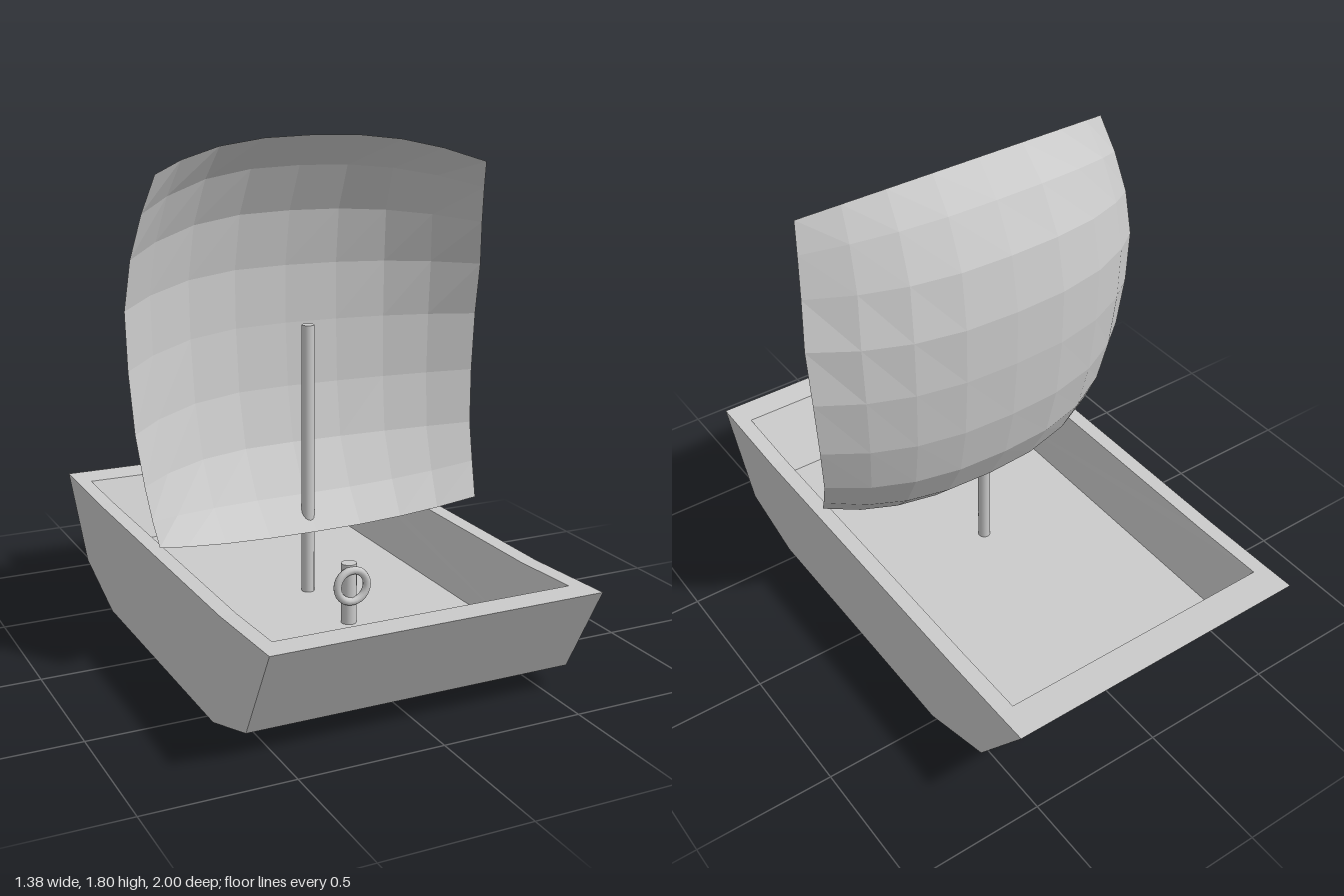
import * as THREE from 'three';

const grey = (opts = {}) => new THREE.MeshStandardMaterial({ color: 0xcccccc, ...opts });

function named(name, geometry, material, x = 0, y = 0, z = 0) {
  const mesh = new THREE.Mesh(geometry, material);
  mesh.name = name;
  mesh.position.set(x, y, z);
  return mesh;
}

function geometryFrom(positions) {
  const g = new THREE.BufferGeometry();
  g.setAttribute('position', new THREE.Float32BufferAttribute(positions, 3));
  g.computeVertexNormals();
  return g;
}

// Fan-triangulate a polygon so that every triangle faces along "facing".
function addPolygon(out, points, facing) {
  const p = points.map((q) => new THREE.Vector3(...q));
  const f = new THREE.Vector3(...facing);
  for (let i = 1; i < p.length - 1; i++) {
    const tri = [p[0], p[i], p[i + 1]];
    const n = new THREE.Vector3().crossVectors(tri[1].clone().sub(tri[0]), tri[2].clone().sub(tri[0]));
    if (n.dot(f) < 0) tri.reverse();
    tri.forEach((v) => out.push(v.x, v.y, v.z));
  }
}

// Straight-sided hull with raked ends and a tapered open well.
function hullGeometry(floorY) {
  const out = [];
  const [xr, xl] = [-0.59, 0.573]; // outer sides
  const [ir, il] = [-0.535, 0.515]; // well opening
  const [fr, fl] = [-0.465, 0.445]; // well floor
  const [fz0, fz1] = [0.775, -0.75];
  const keel = [[0.55, 0], [0.82, 0.085], [1, 0.408]];
  const stern = [[-1, 0.4], [-0.78, 0.105], [-0.48, 0]];
  // Sheer line stations (z, y); 1 and 4 are the ends of the well.
  const rim = [[1, 0.408], [0.895, 0.403], [0.62, 0.39], [-0.6, 0.39], [-0.875, 0.396], [-1, 0.4]];
  const at = (x, [z, y]) => [x, y, z];

  // Flat outer sides
  const side = [...keel, ...rim.slice(1, 5), ...stern];
  addPolygon(out, side.map((q) => at(xr, q)), [-1, 0, 0]);
  addPolygon(out, side.map((q) => at(xl, q)), [1, 0, 0]);

  // Bow, bottom and stern plates
  const shell = [[...keel].reverse(), stern.slice().reverse()].flat();
  for (let i = 0; i < shell.length - 1; i++) {
    const [a, b] = [shell[i], shell[i + 1]];
    const facing = [0, (a[1] + b[1]) / 2 - 0.3, (a[0] + b[0]) / 2];
    addPolygon(out, [at(xr, a), at(xl, a), at(xl, b), at(xr, b)], facing);
  }

  // Gunwale
  for (let i = 0; i < rim.length - 1; i++) {
    const [a, b] = [rim[i], rim[i + 1]];
    const strips = [[xr, ir], [il, xl]];
    if (i === 0 || i === rim.length - 2) strips.push([ir, il]);
    for (const [x0, x1] of strips) {
      addPolygon(out, [at(x0, a), at(x1, a), at(x1, b), at(x0, b)], [0, 1, 0]);
    }
  }

  // Well walls and floor
  const well = rim.slice(1, 5);
  for (const [top, low, dir] of [[ir, fr, 1], [il, fl, -1]]) {
    addPolygon(out, [[low, floorY, fz0], ...well.map((q) => at(top, q)), [low, floorY, fz1]], [dir, 0, 0]);
  }
  for (const [q, fz, dir] of [[well[0], fz0, -1], [well[3], fz1, 1]]) {
    addPolygon(out, [at(ir, q), at(il, q), [fl, floorY, fz], [fr, floorY, fz]], [0, 0, dir]);
  }
  addPolygon(out, [[fr, floorY, fz0], [fl, floorY, fz0], [fl, floorY, fz1], [fr, floorY, fz1]], [0, 1, 0]);
  return geometryFrom(out);
}

// Billowing sail: a right edge, a centre line and a left edge, blended across.
function sailGeometry() {
  const right = [
    [-0.613, 1.71, 0.185], [-0.645, 1.58, 0.135], [-0.673, 1.43, 0.095], [-0.69, 1.26, 0.075], [-0.685, 1.06, 0.08],
    [-0.675, 0.85, 0.105], [-0.66, 0.68, 0.145], [-0.648, 0.57, 0.18], [-0.635, 0.485, 0.21]];
  const centre = [
    [0, 1.805, 0.045], [0, 1.695, -0.055], [0, 1.53, -0.14], [0, 1.33, -0.178], [0, 1.12, -0.178],
    [0, 0.89, -0.16], [0, 0.69, -0.115], [0, 0.52, -0.02], [0, 0.41, 0.088]];
  const left = [
    [0.597, 1.705, 0.195], [0.622, 1.61, 0.145], [0.648, 1.48, 0.095], [0.68, 1.32, 0.04], [0.686, 1.13, 0.003],
    [0.675, 0.92, 0.005], [0.65, 0.73, 0.045], [0.625, 0.6, 0.11], [0.588, 0.49, 0.195]];
  const spread = [-1, -0.82, -0.57, -0.29, 0, 0.29, 0.55, 0.78, 1];
  const positions = [];
  const index = [];
  centre.forEach((c, row) => {
    spread.forEach((s, col) => {
      const edge = (s < 0 ? right : left)[row];
      const t = Math.abs(s);
      const bend = t ** 2.5;
      positions.push(edge[0] * t, c[1] + (edge[1] - c[1]) * bend, c[2] + (edge[2] - c[2]) * bend);
      if (row < 8 && col < 8) {
        const a = row * 9 + col;
        index.push(a, a + 9, a + 1, a + 1, a + 9, a + 10);
      }
    });
  });
  const g = new THREE.BufferGeometry();
  g.setAttribute('position', new THREE.Float32BufferAttribute(positions, 3));
  g.setIndex(index);
  g.computeVertexNormals();
  return g;
}

export function createModel() {
  const model = new THREE.Group();
  model.name = 'sailboat';
  const floorY = 0.17;

  model.add(named('hull', hullGeometry(floorY), grey({ flatShading: true })));
  model.add(named('sail', sailGeometry(), grey({ flatShading: true, side: THREE.DoubleSide })));

  // Mast piercing the foot of the sail
  const mastTop = 1.152;
  const mast = new THREE.CylinderGeometry(0.023, 0.023, mastTop - floorY, 16);
  model.add(named('mast', mast, grey(), -0.01, (mastTop + floorY) / 2, 0.033));

  // Short post carrying a ring on its front
  const cleat = new THREE.Group();
  cleat.name = 'ringPost';
  cleat.add(named('post', new THREE.CylinderGeometry(0.027, 0.027, 0.215, 16), grey(), -0.01, floorY + 0.1075, 0.36));
  cleat.add(named('ring', new THREE.TorusGeometry(0.056, 0.014, 10, 24), grey(), -0.01, 0.31, 0.385));
  model.add(cleat);

  return model;
}
